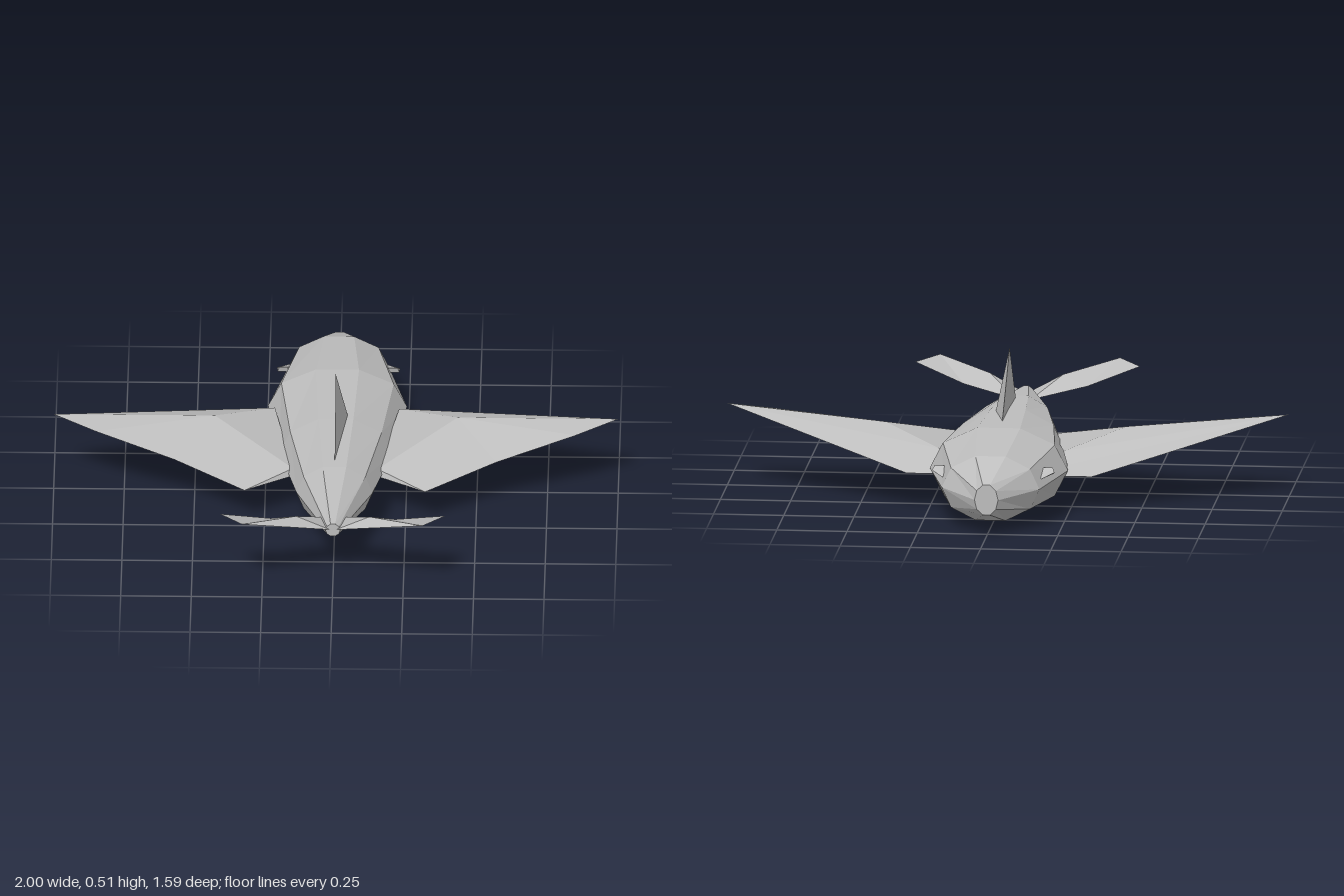
import * as THREE from 'three';

const skin = new THREE.MeshStandardMaterial({ color: 0xbdbdbd, flatShading: true, side: THREE.DoubleSide });
skin.name = 'light grey skin';

// Flat-shaded mesh from a list of triangle corner coordinates
function meshFrom(name, pos) {
  const geo = new THREE.BufferGeometry();
  geo.setAttribute('position', new THREE.Float32BufferAttribute(pos, 3));
  geo.computeVertexNormals();
  const mesh = new THREE.Mesh(geo, skin);
  mesh.name = name;
  return mesh;
}

// Faceted part from named corners and polygon faces such as 'ABCD' (fanned into triangles)
function faceted(name, corners, faces, mirror = 1) {
  const pos = [];
  for (const face of faces) {
    for (let i = 1; i < face.length - 1; i++) {
      const tri = [face[0], face[i], face[i + 1]].map((k) => corners[k]);
      if (mirror < 0) tri.reverse();
      tri.forEach(([x, y, z]) => pos.push(x * mirror, y, z));
    }
  }
  return meshFrom(name, pos);
}

// Ten-sided body lofted through elliptical rings: z, centre y, half width, half height
function makeBody() {
  const rings = [
    [-0.795, 0.135, 0.042, 0.057],
    [-0.64, 0.145, 0.174, 0.122],
    [-0.34, 0.151, 0.246, 0.157],
    [0, 0.155, 0.2, 0.148],
    [0.31, 0.175, 0.135, 0.111],
    [0.65, 0.22, 0.026, 0.026],
  ];
  const sides = 10;
  const last = rings.length - 1;
  const pos = [];
  const point = (i, j) => {
    const [z, cy, rx, ry] = rings[i];
    const a = ((j + 0.5) / sides) * Math.PI * 2;
    return [Math.sin(a) * rx, cy - Math.cos(a) * ry, z];
  };
  for (let j = 0; j < sides; j++) {
    for (let i = 0; i < last; i++) {
      const a = point(i, j), b = point(i, j + 1), c = point(i + 1, j + 1), d = point(i + 1, j);
      pos.push(...a, ...b, ...c, ...a, ...c, ...d);
    }
    // flat snout and tail caps
    pos.push(0, rings[0][1], rings[0][0], ...point(0, j + 1), ...point(0, j));
    pos.push(0, rings[last][1], rings[last][0], ...point(last, j), ...point(last, j + 1));
  }
  return meshFrom('body', pos);
}

// Broad side fin: T tip, R ridge, A N K upper root, U V lower root, L leading edge, P Q S B trailing edge
const sideFin = {
  T: [1, 0.3, -0.01], R: [0.43, 0.26, -0.08], A: [0.22, 0.2, -0.24],
  N: [0.24, 0.162, -0.3], K: [0.23, 0.13, -0.34], L: [0.33, 0.128, -0.33],
  P: [0.85, 0.272, 0.06], Q: [0.57, 0.2, 0.13], S: [0.32, 0.152, 0.26],
  B: [0.15, 0.18, 0.15], U: [0.22, 0.15, -0.27], V: [0.15, 0.155, 0.16],
};
const sideFinFaces = ['TRA', 'TAN', 'TNL', 'NKL', 'TPR', 'PQR', 'QSR', 'SBR', 'RBA',
  'LUT', 'LKU', 'TUQ', 'TQP', 'UVS', 'USQ', 'SVB'];

// Tail fin: F/E root, G leading edge, C/D outer corners, M ridge
const tailFin = {
  F: [0.025, 0.215, 0.55], G: [0.22, 0.252, 0.625], C: [0.4, 0.312, 0.7],
  D: [0.32, 0.323, 0.79], M: [0.13, 0.285, 0.665], E: [0.01, 0.222, 0.65],
};
const tailFinFaces = ['FMG', 'GMD', 'GDC', 'FEM', 'MED', 'FGE', 'GDE', 'GCD'];

// Small wedge-shaped eye on the cheek
const eye = {
  A: [0.175, 0.172, -0.595], B: [0.21, 0.2, -0.525], C: [0.215, 0.18, -0.53],
  D: [0.16, 0.2, -0.525], E: [0.16, 0.177, -0.53], F: [0.218, 0.187, -0.545],
};
const eyeFaces = ['AFB', 'ACF', 'FCB', 'ABD', 'AEC', 'BCED'];

// Thin dorsal fin, flat on one side
const dorsal = { A: [0, 0.297, -0.215], B: [0.042, 0.292, -0.03], C: [0, 0.28, 0.27], T: [0, 0.51, 0.05] };

export function createModel() {
  const group = new THREE.Group();
  group.name = 'fish';
  group.add(makeBody());
  group.add(faceted('dorsalFin', dorsal, ['ATB', 'BTC', 'ACT', 'ABC']));
  for (const [side, m] of [['left', 1], ['right', -1]]) {
    group.add(faceted(side + 'SideFin', sideFin, sideFinFaces, m));
    group.add(faceted(side + 'TailFin', tailFin, tailFinFaces, m));
    group.add(faceted(side + 'Eye', eye, eyeFaces, m));
  }
  return group;
}
